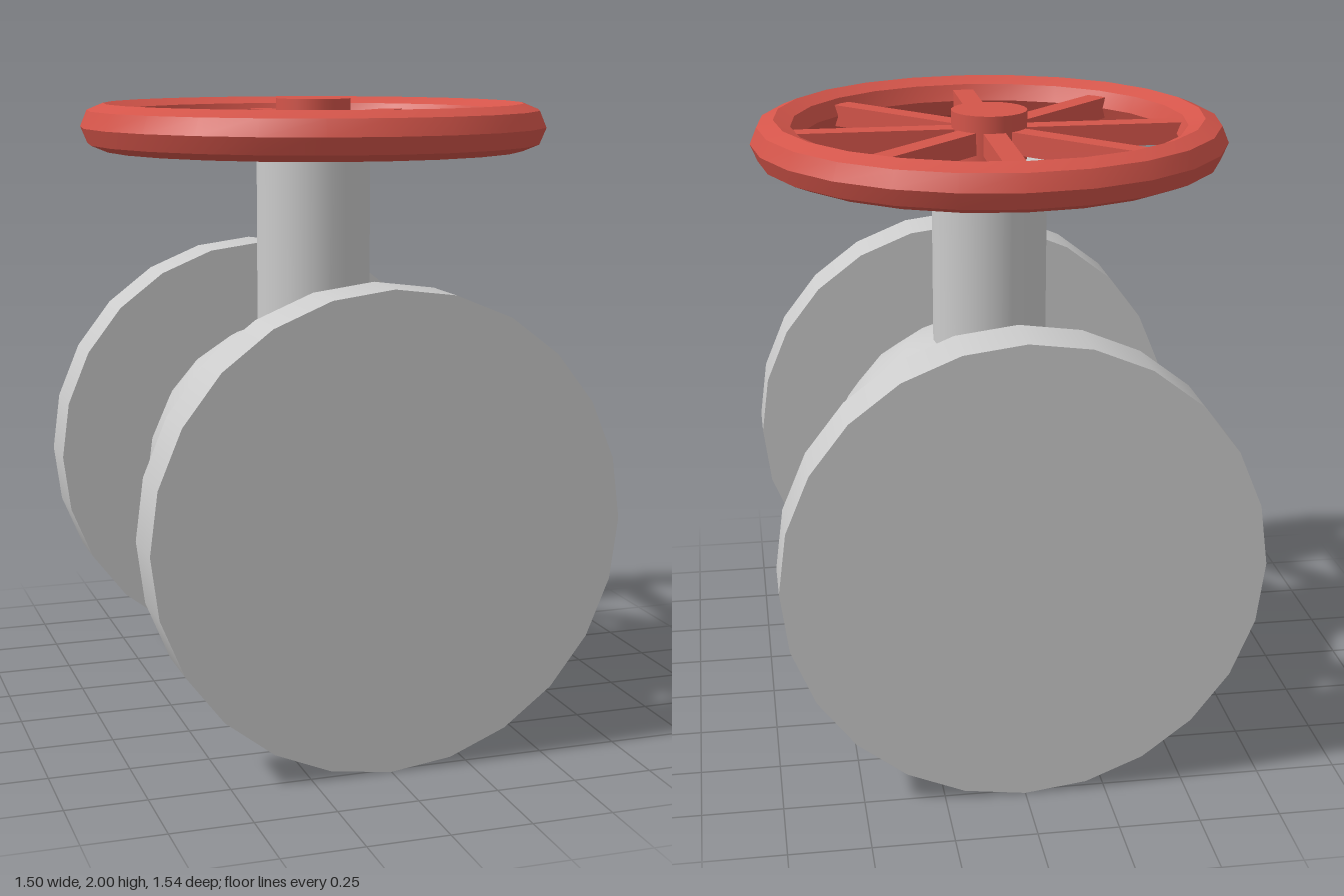
import * as THREE from 'three';
import { toCreasedNormals } from 'three/addons/utils/BufferGeometryUtils.js';

const SIDES = 24;
const AXIS_Y = 0.74;   // height of the pipe axis
const WHEEL_Y = 1.912; // height of the handwheel

export function createModel() {
  const grey = new THREE.MeshStandardMaterial({ color: 0xcccccc });
  const red = new THREE.MeshStandardMaterial({ color: 0xd4554a });
  const model = new THREE.Group();
  model.name = 'valve';

  const add = (parent, name, geometry, material, x = 0, y = 0, z = 0) => {
    const mesh = new THREE.Mesh(geometry, material);
    mesh.name = name;
    mesh.position.set(x, y, z);
    parent.add(mesh);
    return mesh;
  };

  // Bulging valve body, stretched along the pipe axis
  const bodyGeometry = new THREE.SphereGeometry(1, SIDES, 12).scale(0.546, 0.546, 0.68);
  add(model, 'body', bodyGeometry, grey, 0, AXIS_Y, 0);

  // Pipe flanges, front and back, with a vertex at the top
  const flangeGeometry = new THREE.CylinderGeometry(0.737, 0.737, 0.185, SIDES).rotateX(Math.PI / 2);
  for (const [name, side] of [['frontFlange', 1], ['backFlange', -1]]) {
    add(model, name, flangeGeometry, grey, 0, AXIS_Y, side * 0.6775);
  }

  // Neck carrying the handwheel
  add(model, 'neck', new THREE.CylinderGeometry(0.184, 0.184, 0.84, SIDES), grey, 0, 1.425, 0);

  // Handwheel: faceted rim, hub and eight spokes
  const wheel = new THREE.Group();
  wheel.name = 'handwheel';
  wheel.position.y = WHEEL_Y;
  model.add(wheel);

  const rimGeometry = toCreasedNormals(
    new THREE.TorusGeometry(0.675, 0.074, 8, SIDES).rotateX(Math.PI / 2), 0.6);
  add(wheel, 'rim', rimGeometry, red);
  add(wheel, 'hub', new THREE.CylinderGeometry(0.12, 0.12, 0.16, SIDES), red, 0, 0.008, 0);

  const spokeGeometry = new THREE.BoxGeometry(0.62, 0.07, 0.07).translate(0.31, 0, 0);
  for (let i = 0; i < 8; i++) {
    add(wheel, 'spoke', spokeGeometry, red).rotation.y = (i * Math.PI) / 4;
  }

  return model;
}
